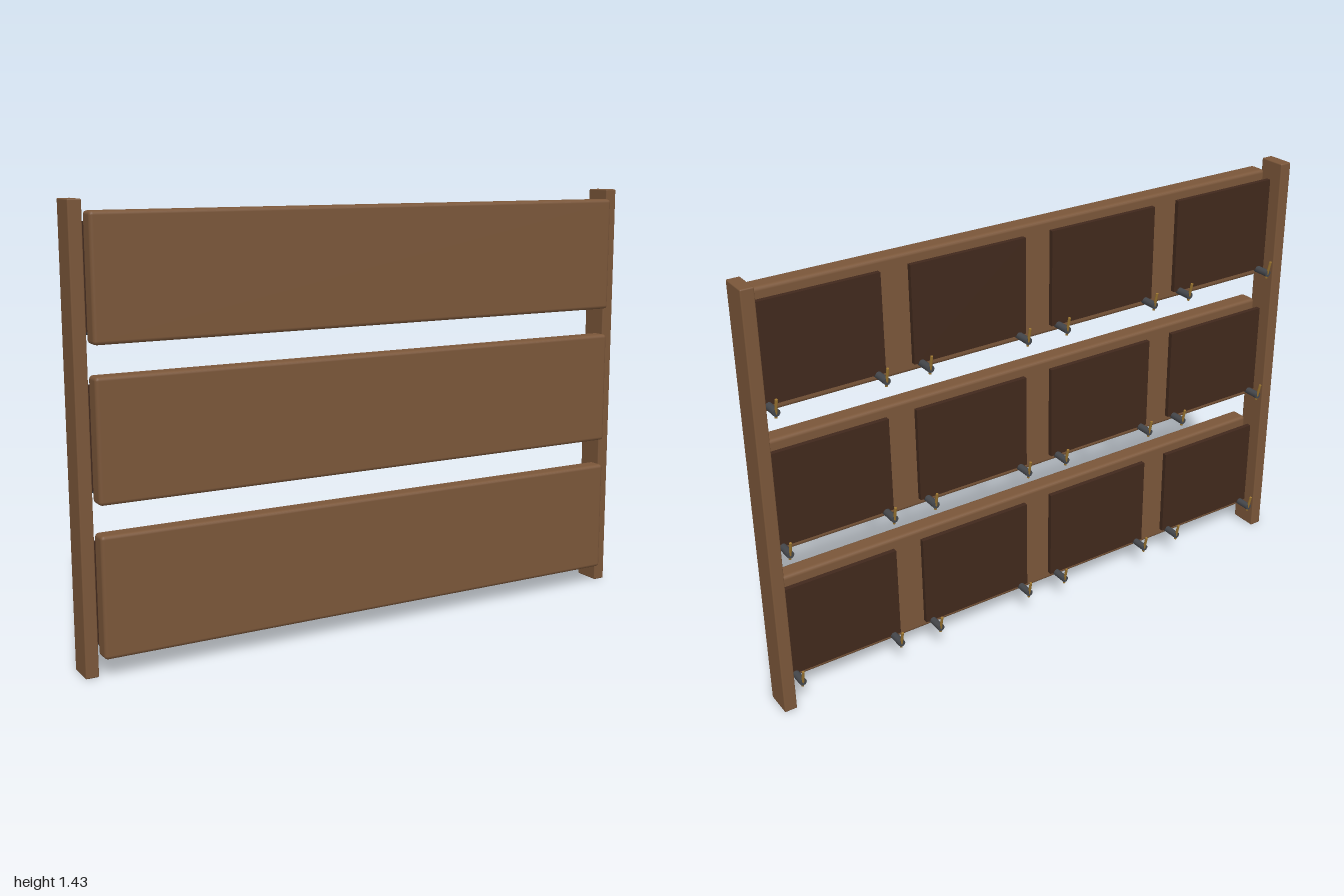
import * as THREE from 'three';
import { RoundedBoxGeometry } from 'three/addons/geometries/RoundedBoxGeometry.js';

export function createModel() {
  const root = new THREE.Group();
  root.name = 'slattedRack';
  const material = (color) => new THREE.MeshStandardMaterial({ color });
  const wood = material(0x7a5639);
  const darkWood = material(0x40281c);
  const iron = material(0x44464a);
  const brass = material(0x9a7430);

  function add(name, geometry, mat, x, y, z, parent = root) {
    const mesh = new THREE.Mesh(geometry, mat);
    mesh.name = name;
    mesh.position.set(x, y, z);
    parent.add(mesh);
    return mesh;
  }

  // Upright posts with slightly eased edges
  const postGeo = new RoundedBoxGeometry(0.042, 1.43, 0.095, 2, 0.004);
  add('leftPost', postGeo, wood, 0.979, 0.715, -0.0095);
  add('rightPost', postGeo, wood, -0.979, 0.715, -0.0095);

  const plankGeo = new RoundedBoxGeometry(1.9, 0.384, 0.062, 2, 0.012);
  const panelGeo = new THREE.BoxGeometry(0.405, 0.32, 0.016);
  const pegGeo = new THREE.CylinderGeometry(0.012, 0.012, 0.062, 12).rotateX(Math.PI / 2);
  const pinGeo = new THREE.CylinderGeometry(0.0045, 0.0045, 0.066, 8);

  // Three tiers: front plank, four back panels, two pegs per panel
  for (const y of [0.254, 0.729, 1.205]) {
    const tier = new THREE.Group();
    tier.name = 'tier';
    tier.position.y = y;
    root.add(tier);
    add('frontPlank', plankGeo, wood, 0, 0, 0.044, tier);

    for (const x of [-0.755, -0.252, 0.252, 0.755]) {
      add('backPanel', panelGeo, darkWood, x, 0, -0.001, tier);
      for (const side of [-1, 1]) {
        const px = x + side * 0.177;
        add('peg', pegGeo, iron, px, -0.161, -0.031, tier);
        // Pin leaning outward at the tip of the peg
        const pin = add('pin', pinGeo, brass, px, -0.147, -0.062, tier);
        pin.rotation.x = -0.23;
      }
    }
  }
  return root;
}
